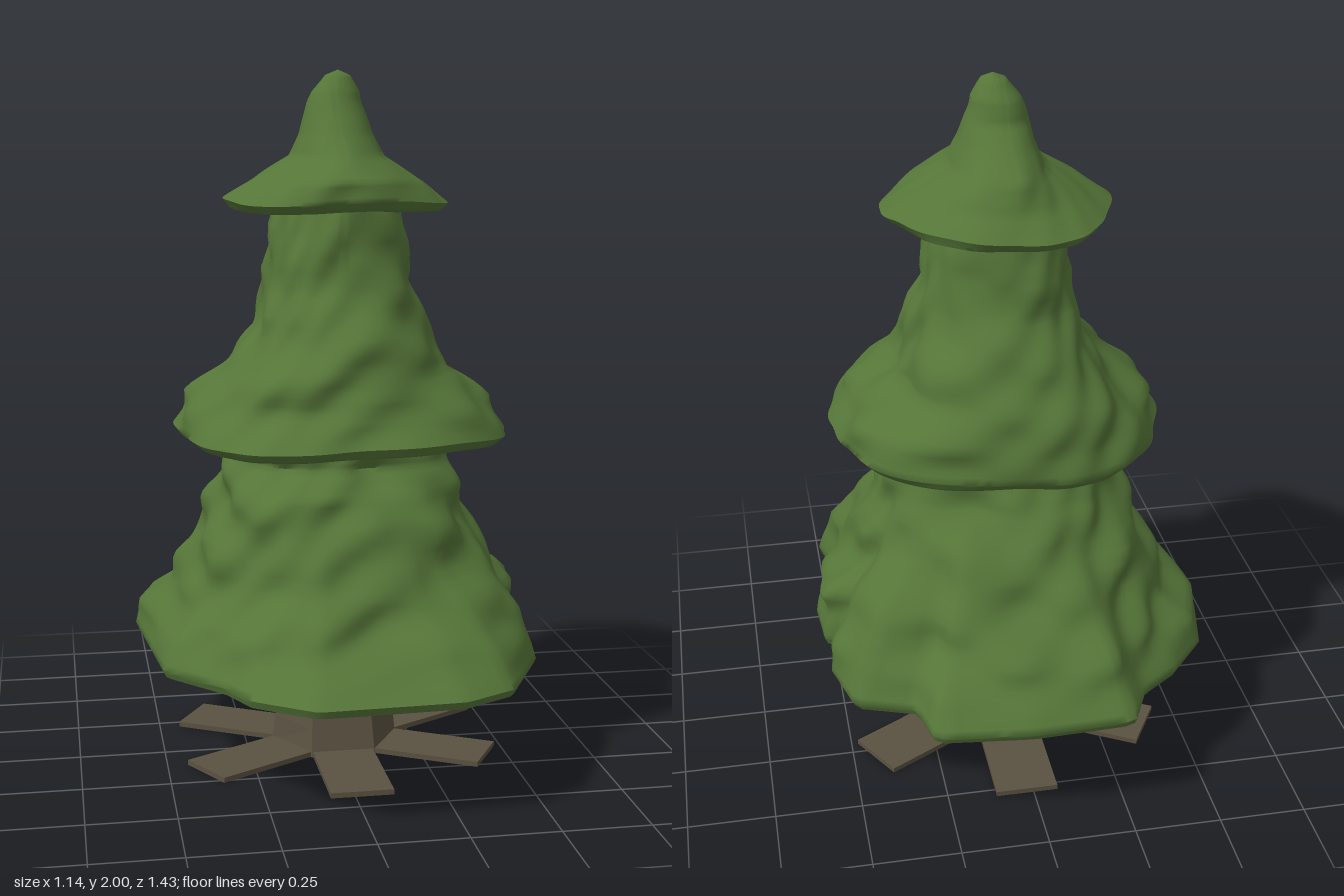
import * as THREE from 'three';
import { mergeVertices, toCreasedNormals } from 'three/addons/utils/BufferGeometryUtils.js';

const { lerp, smoothstep } = THREE.MathUtils;

// Foliage sections: height, then reach towards -x, +x, +z, -z
const SECTIONS = [
  [0.335, 0.00, 0.00, 0.00, 0.00], [0.333, 0.56, 0.55, 0.71, 0.71],
  [0.355, 0.57, 0.56, 0.72, 0.72], [0.43, 0.55, 0.55, 0.63, 0.66],
  [0.50, 0.48, 0.54, 0.56, 0.60], [0.60, 0.43, 0.47, 0.47, 0.51],
  [0.75, 0.36, 0.38, 0.41, 0.41], [0.83, 0.33, 0.36, 0.37, 0.33],
  [0.90, 0.31, 0.35, 0.28, 0.30], [0.955, 0.30, 0.33, 0.29, 0.30],
  [0.96, 0.43, 0.47, 0.47, 0.43], [0.985, 0.455, 0.495, 0.49, 0.45],
  [1.08, 0.41, 0.45, 0.41, 0.44], [1.17, 0.30, 0.31, 0.40, 0.41],
  [1.27, 0.22, 0.28, 0.34, 0.36], [1.40, 0.19, 0.23, 0.25, 0.27],
  [1.605, 0.17, 0.20, 0.21, 0.23], [1.61, 0.29, 0.31, 0.30, 0.32],
  [1.635, 0.31, 0.33, 0.325, 0.335], [1.69, 0.23, 0.26, 0.32, 0.27],
  [1.76, 0.115, 0.15, 0.22, 0.24], [1.82, 0.09, 0.12, 0.16, 0.16],
  [1.88, 0.075, 0.10, 0.11, 0.09], [1.94, 0.06, 0.075, 0.07, 0.075],
  [1.985, 0.035, 0.035, 0.035, 0.04], [2.00, 0.00, 0.00, 0.00, 0.00],
];

// Ragged plan outline (x, z) of the lowest tier
const HEM = [
  [0.57, 0.0], [0.56, 0.06], [0.49, 0.24], [0.53, 0.37], [0.40, 0.62], [0.25, 0.70],
  [-0.15, 0.715], [-0.31, 0.60], [-0.37, 0.48], [-0.52, 0.31], [-0.57, -0.18],
  [-0.53, -0.37], [-0.42, -0.50], [-0.31, -0.58], [-0.25, -0.71], [0.04, -0.72], [0.31, -0.69],
  [0.34, -0.55], [0.51, -0.49], [0.56, -0.30], [0.49, -0.19], [0.56, -0.15],
].map(([x, z]) => ({ a: (Math.atan2(z, x) + Math.PI * 2) % (Math.PI * 2), r: Math.hypot(x, z) }));
HEM.push({ a: Math.PI * 2, r: HEM[0].r });

// Distance to the straight outline edge lying in direction a
function hemRadius(a) {
  const i = Math.max(1, HEM.findIndex((point) => a <= point.a));
  const p = HEM[i - 1], q = HEM[i];
  return Math.sin(q.a - p.a) / (Math.sin(q.a - a) / p.r + Math.sin(a - p.a) / q.r);
}

// Rounded section with a different reach on each side, squarer below the top tier
function sectionRadius([y, left, right, front, back], a) {
  const c = Math.cos(a), s = Math.sin(a);
  const rx = c < 0 ? left : right, rz = s < 0 ? back : front;
  const n = y < 1.6 ? 2.4 : 2;
  return rx < 1e-4 ? 0 : (Math.abs(c / rx) ** n + Math.abs(s / rz) ** n) ** (-1 / n);
}

// Soft lumps, a sum of bent sine waves that repeat around the tree
function lumps(a, y) {
  return 0.022 * Math.sin(5 * a + 11 * y + 1.5 * Math.sin(9 * y))
    + 0.018 * Math.sin(8 * a - 23 * y + 2 * Math.sin(2 * a + 5 * y))
    + 0.012 * Math.sin(13 * a + 37 * y + 2 * Math.sin(3 * a))
    + 0.024 * Math.sin(38 * y + 2.5 * Math.sin(3 * a + 1))
    - 0.01;
}

function foliageGeometry() {
  const around = 144, steps = 5, rows = [];
  for (let i = 0; i < SECTIONS.length - 1; i++) {
    for (let k = 0; k < steps; k++) {
      rows.push(SECTIONS[i].map((v, n) => lerp(v, SECTIONS[i + 1][n], k / steps)));
    }
  }
  rows.push(SECTIONS[SECTIONS.length - 1]);

  const positions = [], index = [];
  rows.forEach((row, i) => {
    const y = row[0];
    const ragged = 1 - smoothstep(y, 0.38, 0.9);
    const rough = smoothstep(y, 0.36, 0.5) * (1 - smoothstep(y, 1.6, 1.9));
    // skirt rims of the upper tiers dip and rise a little
    const rim = Math.exp(-(((y - 0.98) / 0.05) ** 2)) + Math.exp(-(((y - 1.64) / 0.05) ** 2));
    const tip = smoothstep(y, 1.9, 2) * 0.02;
    for (let j = 0; j < around; j++) {
      const a = (j / around) * Math.PI * 2;
      const hem = hemRadius(a) / sectionRadius(SECTIONS[2], a);
      const r = sectionRadius(row, a) * lerp(1, hem, ragged) * (1 + lumps(a, y) * rough * (1 - 0.5 * rim));
      const wave = rim * 0.008 * Math.sin(3 * a + 4);
      positions.push(r * Math.cos(a) + tip, y + wave, r * Math.sin(a) + tip / 2);
      if (i === rows.length - 1) continue;
      const p = i * around + j, q = i * around + ((j + 1) % around);
      index.push(p, p + around, q, q, p + around, q + around);
    }
  });
  const geometry = new THREE.BufferGeometry();
  geometry.setAttribute('position', new THREE.Float32BufferAttribute(positions, 3));
  geometry.setIndex(index);
  return toCreasedNormals(mergeVertices(geometry, 1e-4), 1.1);
}

// Six-sided tapering trunk with a kink in its front face
function trunkGeometry() {
  const geometry = new THREE.CylinderGeometry(0.145, 0.19, 0.4, 6, 5, false, Math.PI / 6);
  const p = geometry.attributes.position;
  for (let i = 0; i < p.count; i++) {
    const y = p.getY(i) + 0.2;
    if (p.getZ(i) < 0.05) continue;
    const kink = y < 0.25 ? -0.03 * (y / 0.24) : lerp(-0.03, 0.035, (y - 0.24) / 0.16);
    p.setZ(i, p.getZ(i) + kink);
  }
  geometry.computeVertexNormals();
  return geometry;
}

export function createModel() {
  const tree = new THREE.Group();
  tree.name = 'tree';
  const green = new THREE.MeshStandardMaterial({ color: 0x557538 });
  const bark = new THREE.MeshStandardMaterial({ color: 0x5a5140, flatShading: true });

  const foliage = new THREE.Mesh(foliageGeometry(), green);
  foliage.name = 'foliage';
  tree.add(foliage);

  const trunk = new THREE.Mesh(trunkGeometry(), bark);
  trunk.name = 'trunk';
  trunk.position.set(0.02, 0.2, -0.05);
  tree.add(trunk);

  // Flat roots spread from each trunk face
  const roots = new THREE.Group();
  roots.name = 'roots';
  roots.position.set(0.02, 0.0075, -0.05);
  for (let i = 0; i < 6; i++) {
    const geometry = new THREE.BoxGeometry(0.18, 0.015, 0.36);
    geometry.translate(0, 0, 0.30);
    const root = new THREE.Mesh(geometry, bark);
    root.name = 'root' + (i + 1);
    root.rotation.y = (i * Math.PI) / 3;
    roots.add(root);
  }
  tree.add(roots);
  return tree;
}
